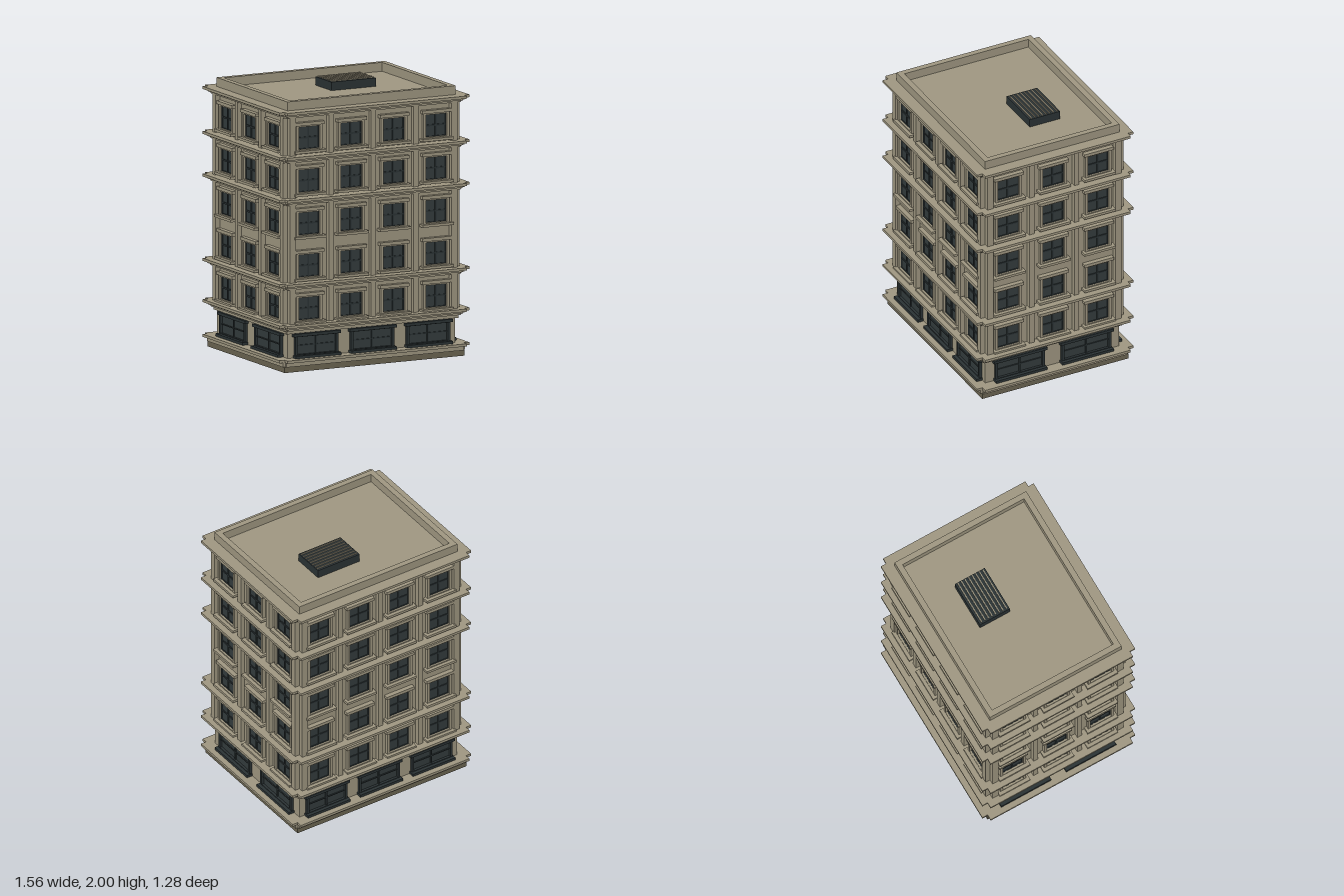
import * as THREE from 'three';

const mat = (name, color) => new THREE.MeshStandardMaterial({ name, color });
const W = 0.69, D = 0.55; // half width and half depth of the wall planes

export function createModel() {
  const stone = mat('stone', 0xa09882);
  const base = mat('darkStone', 0x6c6653);
  const glass = mat('glass', 0x343c3d);
  const trim = mat('darkTrim', 0x2b3335);
  const roofing = mat('roofing', 0x343b3c);

  const model = new THREE.Group();
  model.name = 'building';

  // box given by its extents on each axis
  const box = (parent, name, m, x0, x1, y0, y1, z0, z1) => {
    const mesh = new THREE.Mesh(new THREE.BoxGeometry(x1 - x0, y1 - y0, z1 - z0), m);
    mesh.position.set((x0 + x1) / 2, (y0 + y1) / 2, (z0 + z1) / 2);
    mesh.name = name;
    parent.add(mesh);
    return mesh;
  };

  // horizontal moulding standing p proud of the walls, with corners notched back to n
  const moulding = (name, p, n, y0, y1) => {
    const a = W + p, b = D + p, c = W + n, d = D + n;
    const pts = [[a, -d], [a, d], [c, d], [c, b], [-c, b], [-c, d],
      [-a, d], [-a, -d], [-c, -d], [-c, -b], [c, -b], [c, -d]];
    const shape = new THREE.Shape(pts.map(([x, y]) => new THREE.Vector2(x, y)));
    const geo = new THREE.ExtrudeGeometry(shape, { depth: y1 - y0, bevelEnabled: false });
    geo.rotateX(-Math.PI / 2);
    const mesh = new THREE.Mesh(geo, stone);
    mesh.position.y = y0;
    mesh.name = name;
    model.add(mesh);
  };

  // rectangular frame around an opening, lying in the facade plane
  const frame = (parent, name, m, w, h, t, z0, z1) => {
    const s = new THREE.Shape();
    s.moveTo(-w / 2, -h / 2).lineTo(w / 2, -h / 2).lineTo(w / 2, h / 2).lineTo(-w / 2, h / 2);
    const i = w / 2 - t, j = h / 2 - t;
    const hole = new THREE.Path();
    hole.moveTo(-i, -j).lineTo(-i, j).lineTo(i, j).lineTo(i, -j);
    s.holes.push(hole);
    const mesh = new THREE.Mesh(new THREE.ExtrudeGeometry(s, { depth: z1 - z0, bevelEnabled: false }), m);
    mesh.position.z = z0;
    mesh.name = name;
    parent.add(mesh);
  };

  // upper floor window, wall plane at z = 0
  const upperWindow = (parent, x, y) => {
    const g = new THREE.Group();
    g.name = 'window';
    g.position.set(x, y, 0);
    parent.add(g);
    box(g, 'pane', glass, -0.09, 0.09, -0.085, 0.085, -0.003, 0.003);
    frame(g, 'sash', trim, 0.174, 0.17, 0.006, 0, 0.01);
    box(g, 'mullion', trim, -0.006, 0.006, -0.083, 0.083, 0, 0.01);
    box(g, 'glazingBar', trim, -0.085, 0.085, -0.006, 0.006, 0, 0.009);
    frame(g, 'surround', stone, 0.216, 0.208, 0.021, 0, 0.025);
    box(g, 'lintel', stone, -0.12, 0.12, 0.093, 0.117, 0, 0.035);
    box(g, 'sill', stone, -0.128, 0.128, -0.11, -0.091, 0, 0.052);
  };

  // ground floor display window
  const shopWindow = (parent, x, w) => {
    const g = new THREE.Group();
    g.name = 'shopWindow';
    g.position.set(x, 0.185, 0);
    parent.add(g);
    const h = w / 2;
    box(g, 'pane', glass, -h + 0.01, h - 0.01, -0.085, 0.08, -0.003, 0.003);
    frame(g, 'shopFrame', trim, w, 0.17, 0.02, 0, 0.022);
    box(g, 'mullion', trim, -0.006, 0.006, -0.08, 0.08, 0, 0.012);
    box(g, 'glazingBar', trim, -h + 0.01, h - 0.01, -0.004, 0.004, 0, 0.011);
    box(g, 'shopLintel', trim, -h - 0.015, h + 0.015, 0.068, 0.09, 0, 0.032);
    box(g, 'shopSill', trim, -h - 0.008, h + 0.008, -0.09, -0.07, 0, 0.048);
  };

  const floors = [0.457, 0.774, 1.086, 1.403, 1.72];
  const bays = [[0.36, 0.625], [0.655, 1.25], [1.28, 1.56], [1.595, 1.89]];

  // one facade: half width, distance from centre, window count and shop layout
  const facade = (name, half, dist, angle, count, pitch, shopXs, shopW) => {
    const g = new THREE.Group();
    g.name = name;
    const wall = new THREE.Group();
    wall.position.z = dist;
    g.add(wall);
    g.rotation.y = angle;
    model.add(g);
    for (let i = 0; i < count; i++) {
      for (const y of floors) upperWindow(wall, (i - (count - 1) / 2) * pitch, y);
    }
    for (const [y0, y1] of bays) {
      for (let i = 1; i < count; i++) {
        const x = (i - count / 2) * pitch;
        box(wall, 'pilaster', stone, x - 0.02, x + 0.02, y0 - 0.01, y1, -0.01, 0.034);
      }
      for (const s of [-1, 1]) {
        const x = s * (half - 0.025);
        box(wall, 'cornerPilaster', stone, x - 0.025, x + 0.025, y0 - 0.01, y1, -0.01, 0.037);
      }
    }
    for (const x of shopXs) shopWindow(wall, x, shopW);
  };
  for (const turn of [0, Math.PI]) {
    const side = turn ? 'back' : 'front';
    facade(side + 'Facade', W, D, turn, 4, 0.349, [-0.46, 0, 0.46], 0.357);
    facade(turn ? 'rightFacade' : 'leftFacade', D, W, turn + Math.PI / 2, 3, 0.369, [-0.273, 0.273], 0.405);
  }

  // core and plinth
  box(model, 'walls', stone, -W, W, 0.04, 1.9, -D, D);
  box(model, 'plinth', base, -0.74, 0.74, 0, 0.042, -0.6, 0.6);

  // string courses and main cornice, each a slab over two smaller steps
  for (const top of [0.352, 0.657, 1.282, 1.597, 1.929]) {
    moulding('courseSlab', 0.092, 0.048, top - 0.02, top);
    moulding('courseStep', 0.058, 0.035, top - 0.036, top - 0.02);
    moulding('courseFoot', 0.042, 0.02, top - 0.05, top - 0.036);
  }
  moulding('shopCornice', 0.02, 0.015, 0.278, 0.302);
  moulding('baseSlab', 0.092, 0.048, 0.075, 0.095);
  moulding('baseStep', 0.06, 0.04, 0.042, 0.075);

  // parapet and roof
  for (const s of [-1, 1]) {
    const zs = [s * 0.51, s * 0.553].sort((a, b) => a - b);
    const xs = [s * 0.65, s * 0.693].sort((a, b) => a - b);
    box(model, 'parapet', stone, -0.693, 0.693, 1.89, 1.995, ...zs);
    box(model, 'parapet', stone, ...xs, 1.89, 1.995, -0.51, 0.51);
  }
  box(model, 'roofDeck', roofing, -0.65, 0.65, 1.898, 1.906, -0.51, 0.51);

  // rooftop ventilation unit with slats
  box(model, 'ventUnit', trim, -0.035, 0.33, 1.9, 1.992, -0.256, -0.005);
  for (let i = 0; i < 8; i++) {
    const z = -0.235 + i * 0.03;
    box(model, 'ventSlat', stone, -0.024, 0.324, 1.99, 2, z - 0.004, z + 0.004);
  }
  return model;
}
